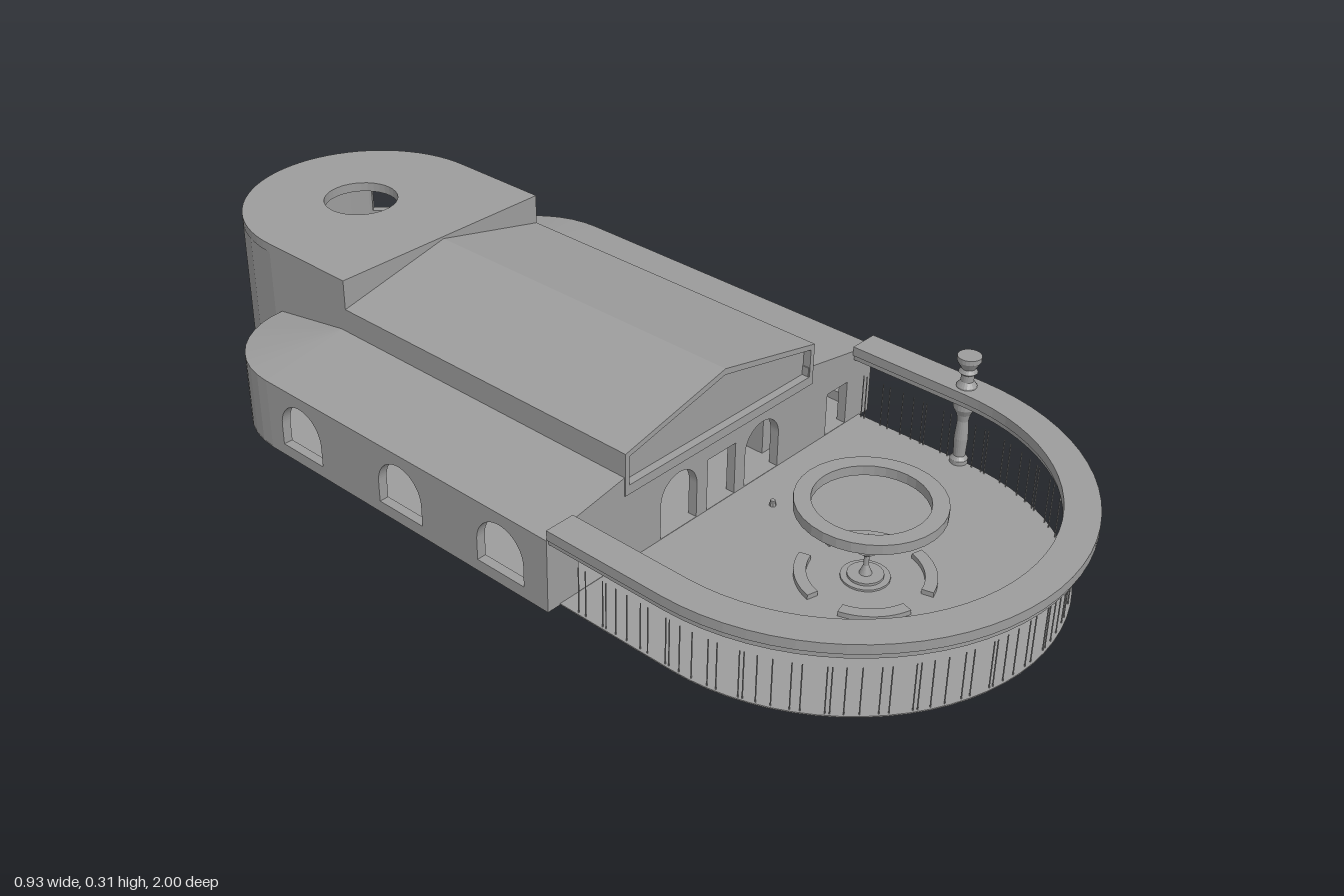
import * as THREE from 'three';

const mat = new THREE.MeshStandardMaterial({ color: 0x9c9c9c, flatShading: true, side: THREE.DoubleSide });
const D = Math.PI / 180;

export function createModel() {
  const root = new THREE.Group();
  root.name = 'courtyardHall';

  const add = (name, geo, x = 0, y = 0, z = 0, parent = root) => {
    const m = new THREE.Mesh(geo, mat);
    m.name = name;
    m.position.set(x, y, z);
    parent.add(m);
    return m;
  };
  const group = (name) => {
    const g = new THREE.Group();
    g.name = name;
    root.add(g);
    return g;
  };
  const extrude = (shape, depth) =>
    new THREE.ExtrudeGeometry(shape, { depth, bevelEnabled: false, curveSegments: 18 });
  const poly = (pts) => new THREE.Shape(pts.map(([x, y]) => new THREE.Vector2(x, y)));
  const hole = (pts) => new THREE.Path(pts.map(([x, y]) => new THREE.Vector2(x, y)));
  // Plan shapes are drawn with y = -z and raised upwards
  const slab = (name, shape, y0, y1, parent = root) =>
    add(name, extrude(shape, y1 - y0).rotateX(-Math.PI / 2), 0, y0, 0, parent);

  // Arched or square opening centred at u
  const opening = (u, w, y0, y1, arched = true) => {
    const p = new THREE.Path(), r = w / 2;
    p.moveTo(u - r, y0);
    p.lineTo(u + r, y0);
    if (arched) {
      p.lineTo(u + r, y1 - r);
      p.absarc(u, y1 - r, r, 0, Math.PI, false);
    } else {
      p.lineTo(u + r, y1);
      p.lineTo(u - r, y1);
    }
    p.closePath();
    return p;
  };

  // Upright wall from a to b (x, z), outside on the right-hand side
  const wall = (name, a, b, h, holes = [], parent = root, t = 0.02) => {
    const dx = b[0] - a[0], dz = b[1] - a[1], len = Math.hypot(dx, dz);
    const s = poly([[0, 0], [len, 0], [len, h], [0, h]]);
    s.holes.push(...holes);
    const m = add(name, extrude(s, t).translate(0, 0, -t), a[0], 0, a[1], parent);
    m.rotation.y = -Math.atan2(dz, dx);
  };

  const W = 0.465, N = 0.268, F = 0.27, AZ = -0.51, AR = 0.2, TZ = -0.732, CZ = 0.535, FR = 0.435;

  // Ground floor, open below the hollow inner piers
  const floor = new THREE.Shape();
  floor.moveTo(W, -F);
  floor.lineTo(W, -AZ);
  floor.absarc(W - AR, -AZ, AR, 0, Math.PI / 2, false);
  floor.lineTo(N, -TZ);
  floor.absarc(0, -TZ, N, 0, Math.PI, false);
  floor.lineTo(-N, -AZ + AR);
  floor.absarc(-W + AR, -AZ, AR, Math.PI / 2, Math.PI, false);
  floor.lineTo(-W, -F);
  floor.lineTo(-FR, -F);
  floor.absarc(0, -CZ, FR, Math.PI, Math.PI * 2, false);
  floor.lineTo(FR, -F);
  floor.closePath();

  // L-shaped inner piers; e insets the outline for the hollow core
  const piers = group('innerPiers');
  for (const s of [-1, 1]) for (const [cy, d, ax, ay] of [[0.51, 1, 0.19, 0.22], [-0.22, -1, 0.09, 0.18]]) {
    const ell = (e) => {
      const t = 0.045 - e;
      return [[0.275 - e, e], [0.275 - ax + e, e], [0.275 - ax + e, t], [0.275 - t, t],
        [0.275 - t, ay - e], [0.275 - e, ay - e]].map(([x, y]) => [s * x, cy - d * y]);
    };
    const outline = poly(ell(0));
    outline.holes.push(hole(ell(0.006)));
    floor.holes.push(hole(ell(0.006)));
    slab('innerPier', outline, 0.002, 0.147, piers);
  }
  slab('floor', floor, 0.0005, 0.003);

  // Front wall with doors and arches
  wall('facade', [-W, F], [W, F], 0.155, [
    opening(W - 0.355, 0.065, 0.004, 0.1, false), opening(W + 0.355, 0.065, 0.004, 0.1, false),
    opening(W - 0.12, 0.1, 0.004, 0.13), opening(W + 0.12, 0.1, 0.004, 0.13),
    opening(W, 0.08, 0.004, 0.118, false),
  ]);

  // Side aisles: windowed wall, rounded rear corner, lean-to roof
  for (const s of [-1, 1]) {
    const g = group(s > 0 ? 'leftAisle' : 'rightAisle');
    const run = (p, q, holes) =>
      s > 0 ? wall('aisleWall', p, q, 0.155, holes, g) : wall('aisleWall', q, p, 0.155, holes, g);
    const us = [0.15, -0.12, -0.41].map((z) => (s > 0 ? F - z : z - AZ));
    run([s * W, F], [s * W, AZ], us.map((u) => opening(u, 0.12, 0.025, 0.13)));
    const n = 10;
    const at = (i) => {
      const a = (i / n) * Math.PI / 2;
      return [s * (W - AR + AR * Math.cos(a)), AZ - AR * Math.sin(a)];
    };
    for (let i = 0; i < n; i++) run(at(i), at(i + 1), []);
    add('aisleRoof', extrude(poly([[s * 0.255, 0.145], [s * W, 0.145], [s * W, 0.155],
      [s * (W - AR), 0.19], [s * 0.255, 0.19]]), F - AZ), 0, 0, AZ, g);
    add('cornerRoof', new THREE.ConeGeometry(AR, 0.035, n, 1, false,
      s > 0 ? Math.PI / 2 : Math.PI, Math.PI / 2), s * (W - AR), 0.1725, AZ, g);
  }

  // Nave roof with a framed pediment
  const gable = [[-N, 0.15], [N, 0.15], [N, 0.24], [0, 0.3], [-N, 0.24]];
  add('naveRoof', extrude(poly(gable), 0.75), 0, 0, -0.495);
  const frame = poly(gable);
  frame.holes.push(hole([[-0.257, 0.17], [0.257, 0.17], [0.257, 0.231], [0, 0.287], [-0.257, 0.231]]));
  add('pedimentFrame', extrude(frame, 0.017), 0, 0, 0.255);

  // Rear tower with two rows of arched windows and a round roof light
  const tower = group('tower');
  const H = 0.3;
  const angles = [90, 73, 57, 39, 29, 19, 9, -9, -19, -29, -39, -57, -73, -90];
  const tp = (a) => [N * Math.sin(a * D), TZ - N * Math.cos(a * D)];
  for (let i = 0; i < angles.length - 1; i++) {
    const a = tp(angles[i]), b = tp(angles[i + 1]);
    const mid = Math.abs(angles[i] + angles[i + 1]) / 2;
    const u = Math.hypot(b[0] - a[0], b[1] - a[1]) / 2;
    wall('towerWall', a, b, H, mid === 0 || mid === 48
      ? [opening(u, 0.066, 0.04, 0.13), opening(u, 0.066, 0.165, 0.26)] : [], tower);
  }
  wall('towerSide', [N, -0.495], [N, TZ], H, [], tower);
  wall('towerSide', [-N, TZ], [-N, -0.495], H, [], tower);
  add('towerFront', new THREE.BoxGeometry(2 * N - 0.002, 0.297, 0.02), 0, 0.1515, -0.505, tower);
  add('towerPartition', new THREE.BoxGeometry(0.02, 0.142, 0.3), 0, 0.074, -0.8, tower);
  const lid = new THREE.Shape();
  lid.moveTo(N, 0.495);
  lid.lineTo(N, -TZ);
  lid.absarc(0, -TZ, N, 0, Math.PI, false);
  lid.lineTo(-N, 0.495);
  lid.closePath();
  lid.holes.push(new THREE.Path().absarc(0, 0.758, 0.079, 0, Math.PI * 2, true));
  slab('towerRoof', lid, 0.285, 0.305, tower);

  // Courtyard canopy: stacked U-shaped mouldings
  const canopy = group('canopy');
  const ring = (ro, ri) => {
    const s = new THREE.Shape();
    s.moveTo(ro, -F);
    s.lineTo(ro, -CZ);
    s.absarc(0, -CZ, ro, 0, -Math.PI, true);
    s.lineTo(-ro, -F);
    s.lineTo(-ri, -F);
    s.lineTo(-ri, -CZ);
    s.absarc(0, -CZ, ri, Math.PI, Math.PI * 2, false);
    s.lineTo(ri, -F);
    return s;
  };
  slab('canopyBase', ring(0.46, 0.405), 0.145, 0.157, canopy);
  slab('canopyTop', ring(W, 0.4), 0.157, 0.177, canopy);

  // Thin posts in uneven pairs along the courtyard edge
  const fence = group('fence');
  const R = 0.43, side = CZ - F, total = 2 * side + Math.PI * R, pairs = 38;
  const postGeo = new THREE.CylinderGeometry(0.0013, 0.0013, 0.1, 5);
  for (let i = 0; i < pairs; i++) for (const o of [0, 0.008 + 0.009 * (i % 3)]) {
    const d = 0.01 + (i / pairs) * (total - 0.02) + o, a = (d - side) / R;
    let p = [R * Math.cos(a), CZ + R * Math.sin(a)];
    if (d < side) p = [R, F + d];
    else if (d > total - side) p = [-R, F + total - d];
    add('post', postGeo, p[0], 0.051, p[1], fence);
  }

  // Turned column with urn, rising through the canopy
  const lathe = (pts, n = 20) => new THREE.LatheGeometry(pts.map(([r, y]) => new THREE.Vector2(r, y)), n);
  add('urnColumn', lathe([[0, 0.001], [0.018, 0.001], [0.018, 0.012], [0.012, 0.02], [0.014, 0.06], [0.011, 0.1],
    [0.014, 0.115], [0.022, 0.13], [0.022, 0.145], [0.02, 0.18], [0.013, 0.19], [0.013, 0.205],
    [0.019, 0.21], [0.014, 0.218], [0.024, 0.235], [0.024, 0.245], [0, 0.245]]), 0.43, 0, 0.52);

  // Hanging ring and fountain below it
  const fountain = group('fountain');
  fountain.position.z = 0.615;
  add('hangingRing', lathe([[0.107, 0.152], [0.138, 0.152], [0.138, 0.172], [0.107, 0.172], [0.107, 0.152]], 32),
    0, 0, 0, fountain);
  for (let i = 0; i < 4; i++) {
    const a0 = (i * 90 + 15) * D, a1 = (i * 90 + 75) * D, s = new THREE.Shape();
    s.absarc(0, 0, 0.13, a0, a1, false);
    s.absarc(0, 0, 0.107, a1, a0, true);
    slab('curvedBench', s, 0.003, 0.013, fountain);
  }
  add('bowls', lathe([[0.046, 0.003], [0.046, 0.007], [0.034, 0.007], [0.034, 0.012], [0.012, 0.012],
    [0.005, 0.03], [0.005, 0.05], [0.022, 0.064], [0.02, 0.064], [0.004, 0.056], [0.003, 0.075],
    [0.01, 0.086], [0.003, 0.082], [0, 0.1]]), 0, 0, 0, fountain);

  // Statue in the hall and a small marker in the courtyard
  add('statue', lathe([[0, 0], [0.014, 0], [0.014, 0.04], [0.008, 0.045], [0.011, 0.085], [0.013, 0.11],
    [0.004, 0.116], [0.007, 0.126], [0, 0.136]], 12), 0.115, 0.003, -0.12);
  add('marker', new THREE.CylinderGeometry(0.005, 0.007, 0.012, 8), 0.06, 0.009, 0.35);

  return root;
}
